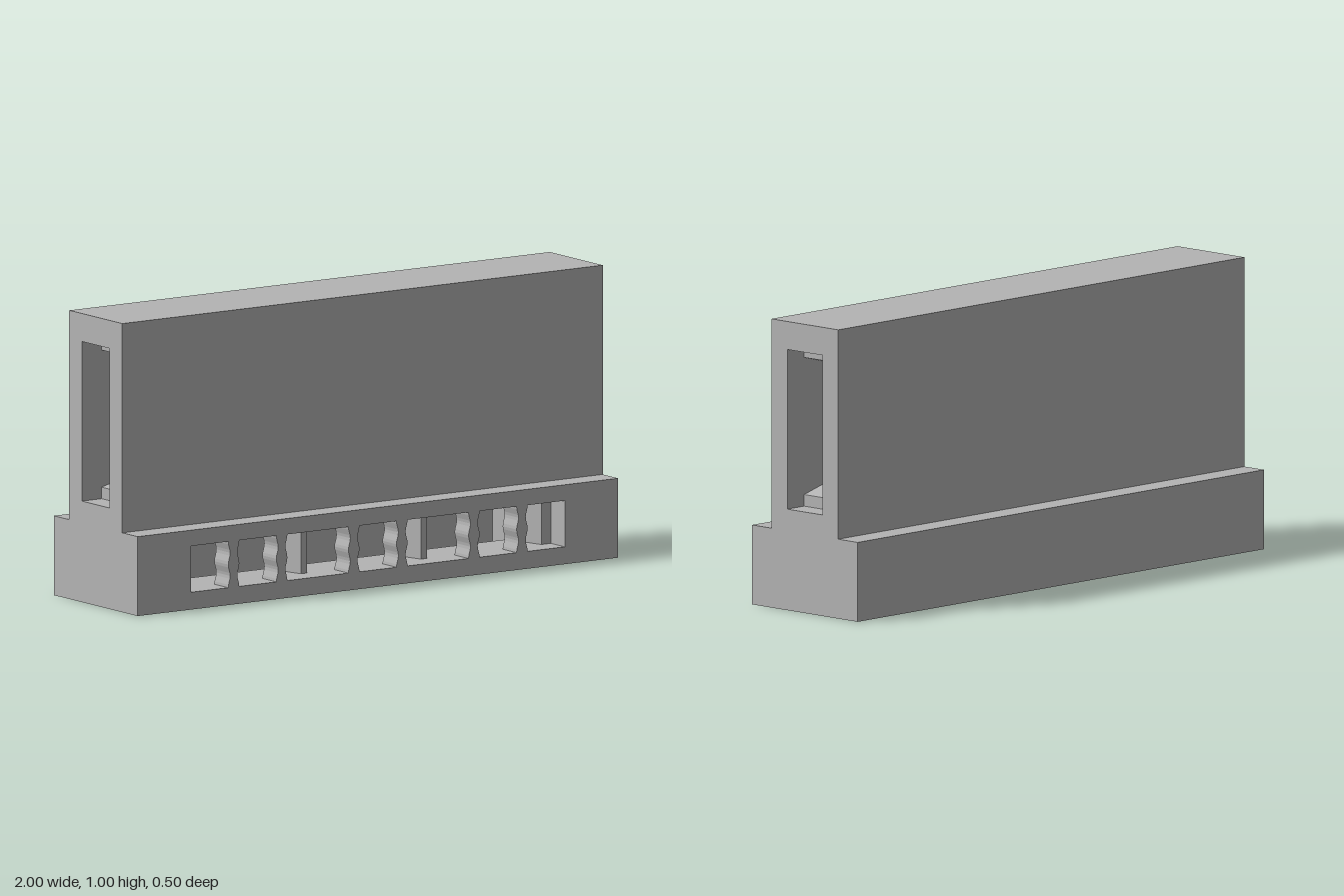
import * as THREE from 'three';

export function createModel() {
  const model = new THREE.Group();
  const grey = new THREE.MeshStandardMaterial({ color: 0xb4b4b4 });
  grey.name = 'plain grey';

  const add = (name, geometry) => {
    const mesh = new THREE.Mesh(geometry, grey);
    mesh.name = name;
    model.add(mesh);
    return mesh;
  };
  // box given by its low and high corner on each axis
  const block = (name, [x0, x1], [y0, y1], [z0, z1]) =>
    add(name, new THREE.BoxGeometry(x1 - x0, y1 - y0, z1 - z0)
      .translate((x0 + x1) / 2, (y0 + y1) / 2, (z0 + z1) / 2));
  const outline = (points) => new THREE.Shape(points.map(([x, y]) => new THREE.Vector2(x, y)));
  const extrude = (shape, depth) => new THREE.ExtrudeGeometry(shape, { depth, bevelEnabled: false });

  // main levels
  const baseTop = 0.275, sill = 0.06, lintel = 0.22;
  const front = 0.25, wallBack = 0.167, pocketFront = 0.017, pocketBack = -0.167;
  const upperHalf = 0.158, slotHalf = 0.083;

  // --- Upper body: core profile with a funnel-shaped slot in each end ---
  const endProfile = [
    [1, baseTop], [1, 0.35], [0.917, 0.35], [0.917, 0.39], [0.767, 0.43], [0.58, 0.43],
    [0.58, 0.825], [0.767, 0.825], [0.917, 0.865], [0.917, 0.903], [1, 0.903], [1, 1],
  ];
  const mirrored = endProfile.map(([x, y]) => [-x, y]).reverse();
  add('upperCore', extrude(outline([...endProfile, ...mirrored]), 2 * slotHalf)
    .translate(0, 0, -slotHalf));
  block('upperFrontPanel', [-1, 1], [baseTop, 1], [slotHalf, upperHalf]);
  block('upperBackPanel', [-1, 1], [baseTop, 1], [-upperHalf, -slotHalf]);

  // --- Base front wall: a row of windows parted by waisted balusters ---
  const wall = outline([[-1, 0], [1, 0], [1, baseTop], [-1, baseTop]]);
  const balusters = [-0.6, -0.4, -0.1, 0.1, 0.4, 0.6];
  const steps = 16;
  const halfWidth = (t) => 0.019 + 0.004 * Math.cos(4 * Math.PI * t);
  // window edge from bottom to top; straight at the row's two ends
  const edge = (i, side) => {
    const x = balusters[i];
    if (x === undefined) {
      const end = i < 0 ? -0.778 : 0.778;
      return [[end, sill], [end, lintel]];
    }
    return Array.from({ length: steps + 1 }, (_, k) => {
      const t = k / steps;
      return [x + side * halfWidth(t), sill + (lintel - sill) * t];
    });
  };
  for (let i = 0; i <= balusters.length; i++) {
    wall.holes.push(outline([...edge(i - 1, 1), ...edge(i, -1).reverse()]));
  }
  add('windowWall', extrude(wall, front - wallBack).translate(0, 0, wallBack));

  // --- Base middle: three chambers between tapered posts ---
  block('chamberFloor', [-1, 1], [0, sill], [pocketFront, wallBack]);
  block('baseRoof', [-1, 1], [lintel, baseTop], [-front, wallBack]);
  const post = (name, frontX, backX) => {
    // plan view is drawn with -z as its second axis, then stood upright
    const plan = outline([
      [frontX[0], -wallBack], [frontX[1], -wallBack],
      [backX[1], -pocketFront], [backX[0], -pocketFront],
    ]);
    add(name, extrude(plan, lintel - sill).rotateX(-Math.PI / 2).translate(0, sill, 0));
  };
  for (const x of [-0.25, 0.25]) {
    post('chamberPost', [x - 0.013, x + 0.013], [x - 0.053, x + 0.053]);
  }
  post('rightEndPost', [-1, -0.738], [-1, -0.697]);
  post('leftEndPost', [0.738, 1], [0.697, 1]);

  // --- Base back: walls around the long pocket open underneath ---
  block('baseBackWall', [-1, 1], [0, lintel], [-front, pocketBack]);
  block('rightPocketEnd', [-1, -0.767], [0, lintel], [pocketBack, pocketFront]);
  block('leftPocketEnd', [0.767, 1], [0, lintel], [pocketBack, pocketFront]);

  return model;
}
